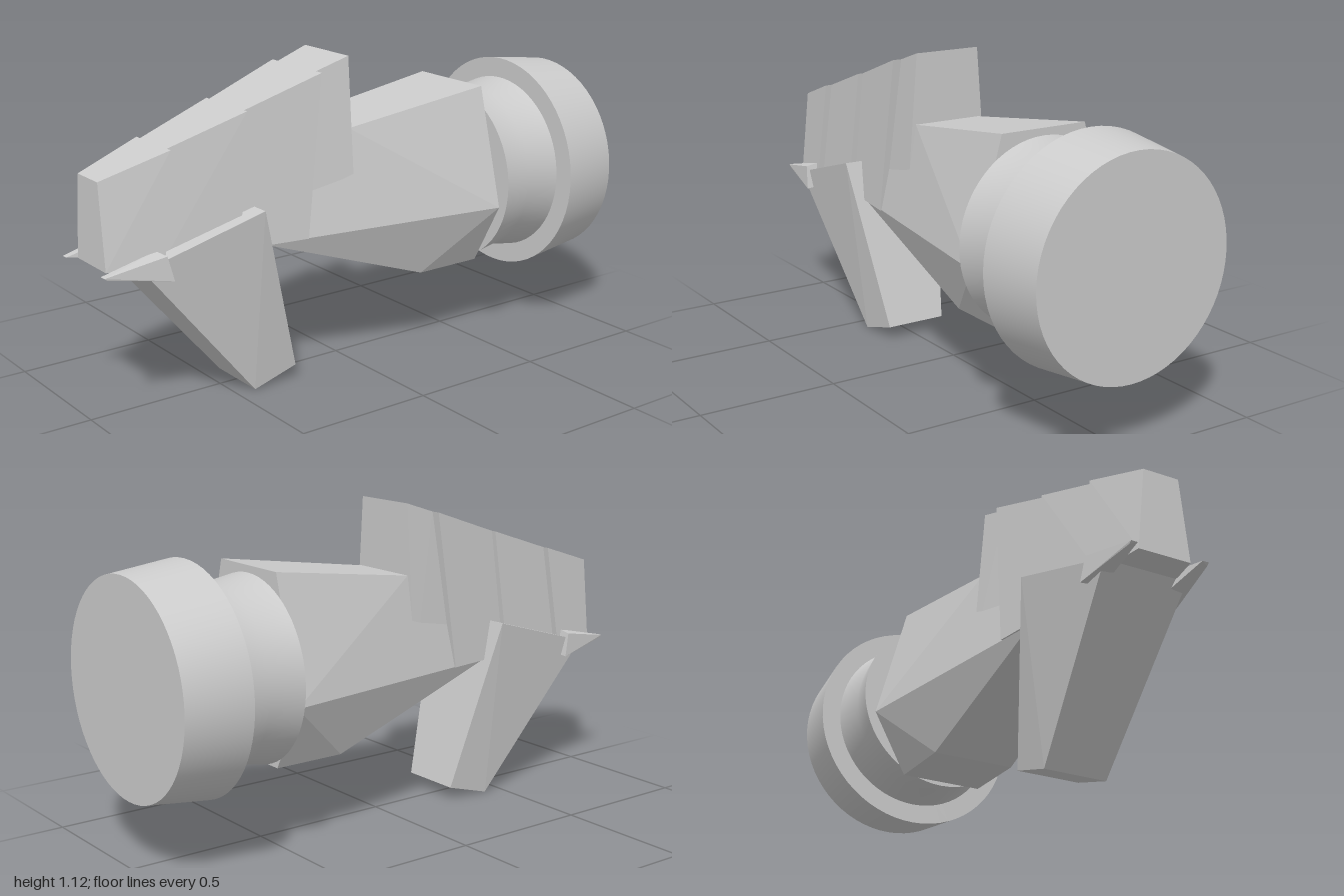
import * as THREE from 'three';
import { ConvexGeometry } from 'three/addons/geometries/ConvexGeometry.js';
import { toCreasedNormals } from 'three/addons/utils/BufferGeometryUtils.js';

const material = new THREE.MeshStandardMaterial({ color: 0xcccccc });

// Faceted solid from corner points, optionally mirrored across x = 0
function solid(name, corners, mirrored = true) {
  const points = [];
  for (const [x, y, z] of corners) {
    points.push(new THREE.Vector3(x, y, z));
    if (mirrored) points.push(new THREE.Vector3(-x, y, z));
  }
  const mesh = new THREE.Mesh(new ConvexGeometry(points), material);
  mesh.name = name;
  return mesh;
}

export function createModel() {
  const model = new THREE.Group();
  model.name = 'jawedHead';

  // Round collar, turned about the z axis
  const profile = [
    [0, -1], [0.37, -1], [0.398, -0.77], [0.325, -0.77],
    [0.305, -0.65], [0.325, -0.53], [0, -0.53],
  ].map(([r, z]) => new THREE.Vector2(r, z));
  const collar = new THREE.Mesh(toCreasedNormals(new THREE.LatheGeometry(profile, 64), 0.5), material);
  collar.name = 'collar';
  collar.rotation.x = Math.PI / 2;
  collar.position.y = 0.6;
  model.add(collar);

  // Six-sided neck tapering to an edge below the head
  model.add(solid('neck', [
    [0.165, 0.95, -0.53], [0.28, 0.52, -0.53], [0.155, 0.29, -0.53],
    [0.13, 0.87, 0.04], [0.135, 0.52, 0.39], [0.155, 0.29, -0.27],
  ]));

  // Stepped snout plates: each flares backward, then the next starts narrower
  // Stations: [top y, top z, bottom y, bottom z]
  const stations = [
    [0.82, 0.97, 0.53, 0.97],
    [0.895, 0.73, 0.525, 0.775],
    [0.985, 0.45, 0.52, 0.5],
    [1.08, 0.165, 0.52, 0.235],
    [1.12, 0.04, 0.52, 0.04],
  ];
  // Half widths: [front top, front bottom, back top, back bottom]
  const widths = [
    [0.065, 0.095, 0.11, 0.13],
    [0.086, 0.108, 0.125, 0.147],
    [0.107, 0.125, 0.145, 0.165],
    [0.112, 0.145, 0.125, 0.172],
  ];
  widths.forEach(([ft, fb, bt, bb], i) => {
    const [y0, z0, y1, z1] = stations[i];
    const [y2, z2, y3, z3] = stations[i + 1];
    model.add(solid(`snoutPlate${i + 1}`, [
      [ft, y0, z0], [fb, y1, z1], [bt, y2, z2], [bb, y3, z3],
    ]));
  });

  // Hanging lower jaw
  model.add(solid('lowerJaw', [
    [0.195, 0.66, 0.43], [0.153, 0.53, 0.87],
    [0.115, 0.05, 0.26], [0.115, 0, 0.43],
  ]));

  // Pointed tusk at each front corner of the jaw
  for (const s of [1, -1]) {
    model.add(solid(s > 0 ? 'leftTusk' : 'rightTusk', [
      [0.115 * s, 0.575, 0.8], [0.172 * s, 0.57, 0.79],
      [0.1 * s, 0.49, 0.775], [0.18 * s, 0.485, 0.77],
      [0.118 * s, 0.53, 1], [0.142 * s, 0.53, 1],
      [0.142 * s, 0.522, 0.99],
    ], false));
  }
  return model;
}
